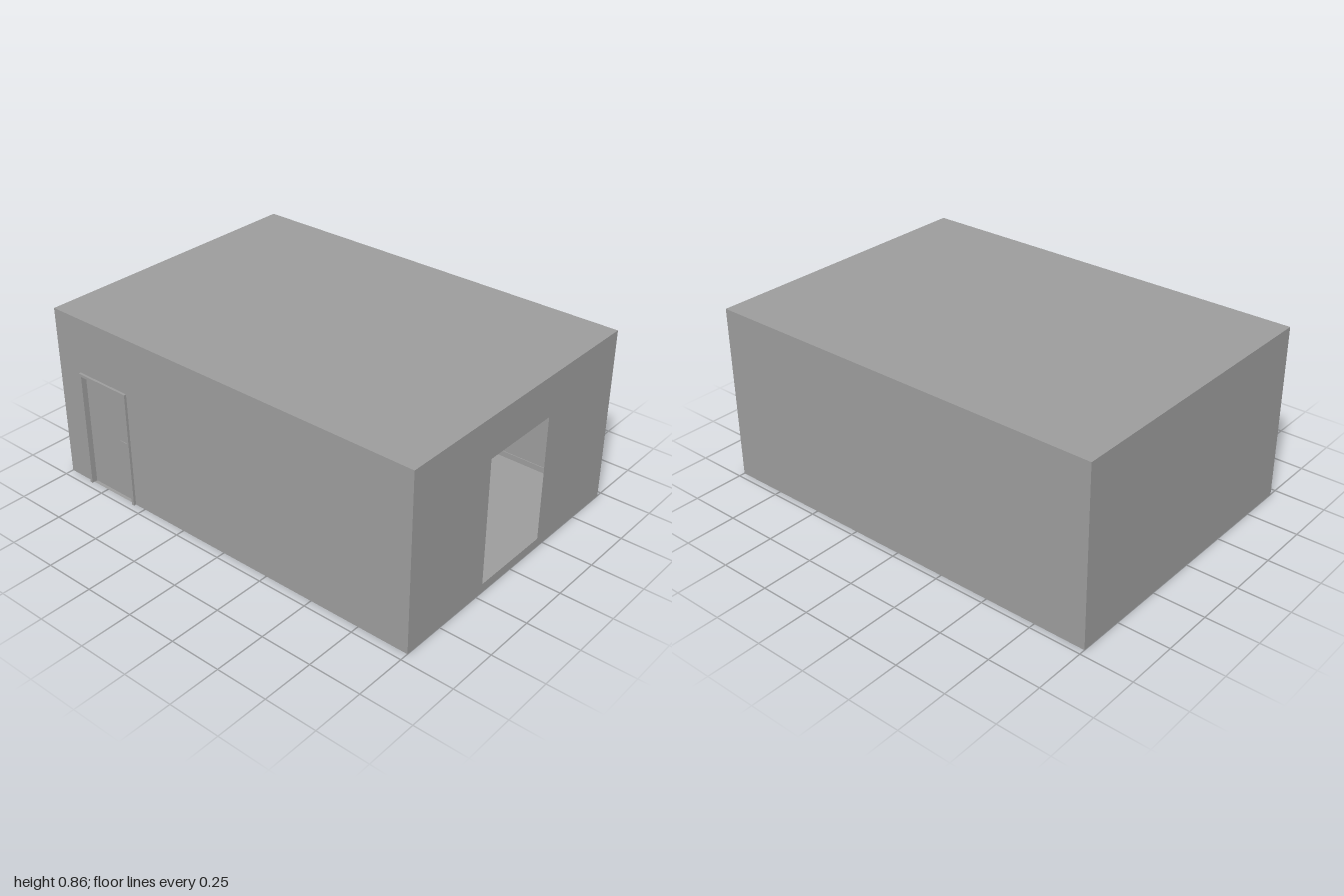
import * as THREE from 'three';

const W = 2, H = 0.855, BACK = -0.72, FRONT = 0.708;
const D = FRONT - BACK, MID = (FRONT + BACK) / 2;

const solid = new THREE.MeshStandardMaterial({ color: 0x9c9c9c, flatShading: true });
const thin = new THREE.MeshStandardMaterial({ color: 0x9c9c9c, flatShading: true, side: THREE.DoubleSide });

export function createModel() {
  const room = new THREE.Group();
  room.name = 'room';

  const add = (parent, name, geometry, material, x, y, z) => {
    const mesh = new THREE.Mesh(geometry, material);
    mesh.name = name;
    mesh.position.set(x, y, z);
    parent.add(mesh);
    return mesh;
  };
  // Box given by its limits on each axis
  const box = (parent, name, [x0, x1], [y0, y1], [z0, z1]) =>
    add(parent, name, new THREE.BoxGeometry(x1 - x0, y1 - y0, z1 - z0), solid,
      (x0 + x1) / 2, (y0 + y1) / 2, (z0 + z1) / 2);
  const points = (...list) => list.map(([x, y]) => new THREE.Vector2(x, y));

  // Thin shell: floor, ceiling and two plain walls
  add(room, 'floor', new THREE.PlaneGeometry(W, D), thin, 0, 0, MID).rotation.x = Math.PI / 2;
  add(room, 'ceiling', new THREE.PlaneGeometry(W, D), thin, 0, H, MID).rotation.x = -Math.PI / 2;
  add(room, 'backWall', new THREE.PlaneGeometry(W, H), thin, 0, H / 2, BACK).rotation.y = Math.PI;
  add(room, 'plainSideWall', new THREE.PlaneGeometry(D, H), thin, -W / 2, H / 2, MID).rotation.y = -Math.PI / 2;

  // Front wall, notched for the doorway
  const frontWall = new THREE.Shape(points([-1, 0], [-0.85, 0], [-0.85, 0.57], [-0.57, 0.57],
    [-0.57, 0], [1, 0], [1, H], [-1, H]));
  add(room, 'frontWall', new THREE.ShapeGeometry(frontWall), thin, 0, 0, FRONT);

  // Side wall with a tall window opening; shape x runs along -z
  const windowWall = new THREE.Shape(points([-FRONT, 0], [-BACK, 0], [-BACK, H], [-FRONT, H]));
  windowWall.holes.push(new THREE.Path(
    points([-0.206, 0.042], [0.208, 0.042], [0.208, 0.657], [-0.206, 0.657])));
  add(room, 'windowWall', new THREE.ShapeGeometry(windowWall), thin, W / 2, 0, 0).rotation.y = Math.PI / 2;

  // Skirting along the back wall
  box(room, 'skirting', [-0.998, 0.998], [0.001, 0.03], [BACK + 0.001, BACK + 0.005]);

  // Slim rail under the ceiling
  box(room, 'ceilingRail', [0.613, 0.619], [H - 0.004, H - 0.001], [-0.21, 0.375]);

  // Door with a raised frame, a recessed leaf and a lever handle
  const door = new THREE.Group();
  door.name = 'door';
  room.add(door);
  const zFrame = [0.688, 0.72];
  for (const [x0, x1] of [[-0.86, -0.846], [-0.574, -0.56]]) {
    box(door, 'frameJamb', [x0, x1], [0, 0.58], zFrame);
  }
  box(door, 'frameHead', [-0.846, -0.574], [0.567, 0.58], zFrame);
  box(door, 'doorLeaf', [-0.843, -0.577], [0.004, 0.564], [0.685, 0.695]);
  box(door, 'handleStem', [-0.588, -0.58], [0.302, 0.309], [0.695, 0.7]);
  box(door, 'handleLever', [-0.636, -0.58], [0.302, 0.309], [0.698, 0.702]);

  return room;
}
